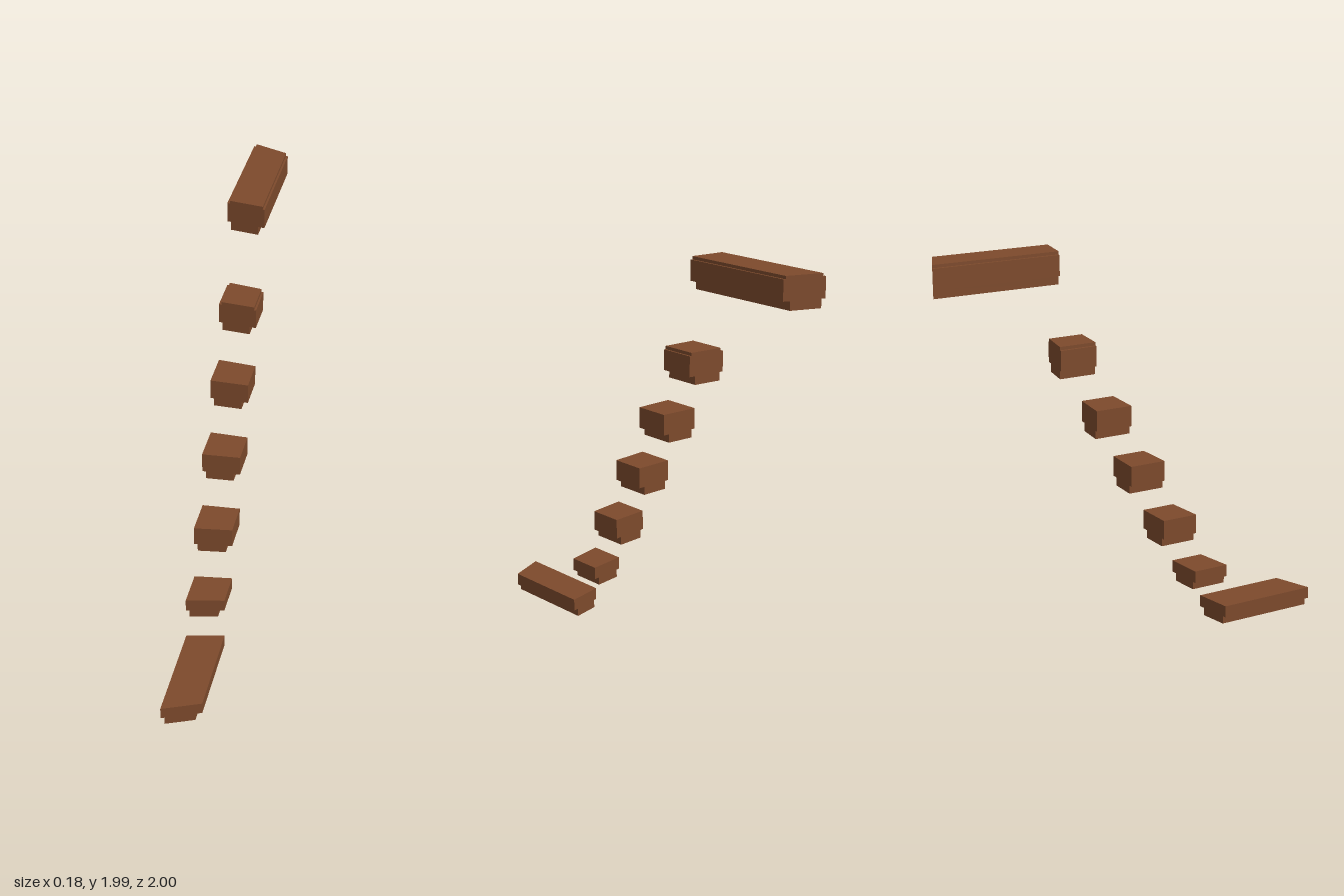
import * as THREE from 'three';

const wood = new THREE.MeshStandardMaterial({ color: 0x7d4a2c });
wood.name = 'brown wood';

const HALF = 0.09;

// Dividing lines between treads in plan: z at the right edge and at the left edge
const cuts = [
  [1.0, 0.925], [0.5, 0.46], [0.32, 0.295], [0.14, 0.128],
  [-0.04, -0.038], [-0.22, -0.205], [-0.4, -0.373], [-1.0, -0.927],
];

// Heights of each tread: foot bottom, body bottom, body top, optional cap top
const levels = [
  [0, 0.04, 0.1],
  [0.225, 0.264, 0.325],
  [0.488, 0.528, 0.624],
  [0.79, 0.83, 0.929],
  [1.09, 1.13, 1.229],
  [1.402, 1.442, 1.538, 1.553],
  [1.839, 1.88, 1.974, 1.988],
];

// x range of each layer: narrow foot, full body, slightly narrower cap
const layers = [
  ['foot', -0.073, 0.06],
  ['body', -HALF, HALF],
  ['cap', -0.077, 0.081],
];

// z of a slanted dividing line at a given x
const zAt = ([zRight, zLeft], x) => THREE.MathUtils.mapLinear(x, -HALF, HALF, zRight, zLeft);

// Slab between two dividing lines, from y0 to y1
function slab(front, back, x0, x1, y0, y1) {
  const plan = new THREE.Shape([
    new THREE.Vector2(x0, -zAt(front, x0)),
    new THREE.Vector2(x1, -zAt(front, x1)),
    new THREE.Vector2(x1, -zAt(back, x1)),
    new THREE.Vector2(x0, -zAt(back, x0)),
  ]);
  const geo = new THREE.ExtrudeGeometry(plan, { depth: y1 - y0, bevelEnabled: false });
  return geo.rotateX(-Math.PI / 2).translate(0, y0, 0);
}

export function createModel() {
  const model = new THREE.Group();
  model.name = 'floatingSteps';
  levels.forEach((ys, i) => {
    const step = new THREE.Group();
    step.name = `step${i + 1}`;
    for (let k = 0; k < ys.length - 1; k++) {
      const [name, x0, x1] = layers[k];
      const mesh = new THREE.Mesh(slab(cuts[i], cuts[i + 1], x0, x1, ys[k], ys[k + 1]), wood);
      mesh.name = name;
      step.add(mesh);
    }
    model.add(step);
  });
  return model;
}
